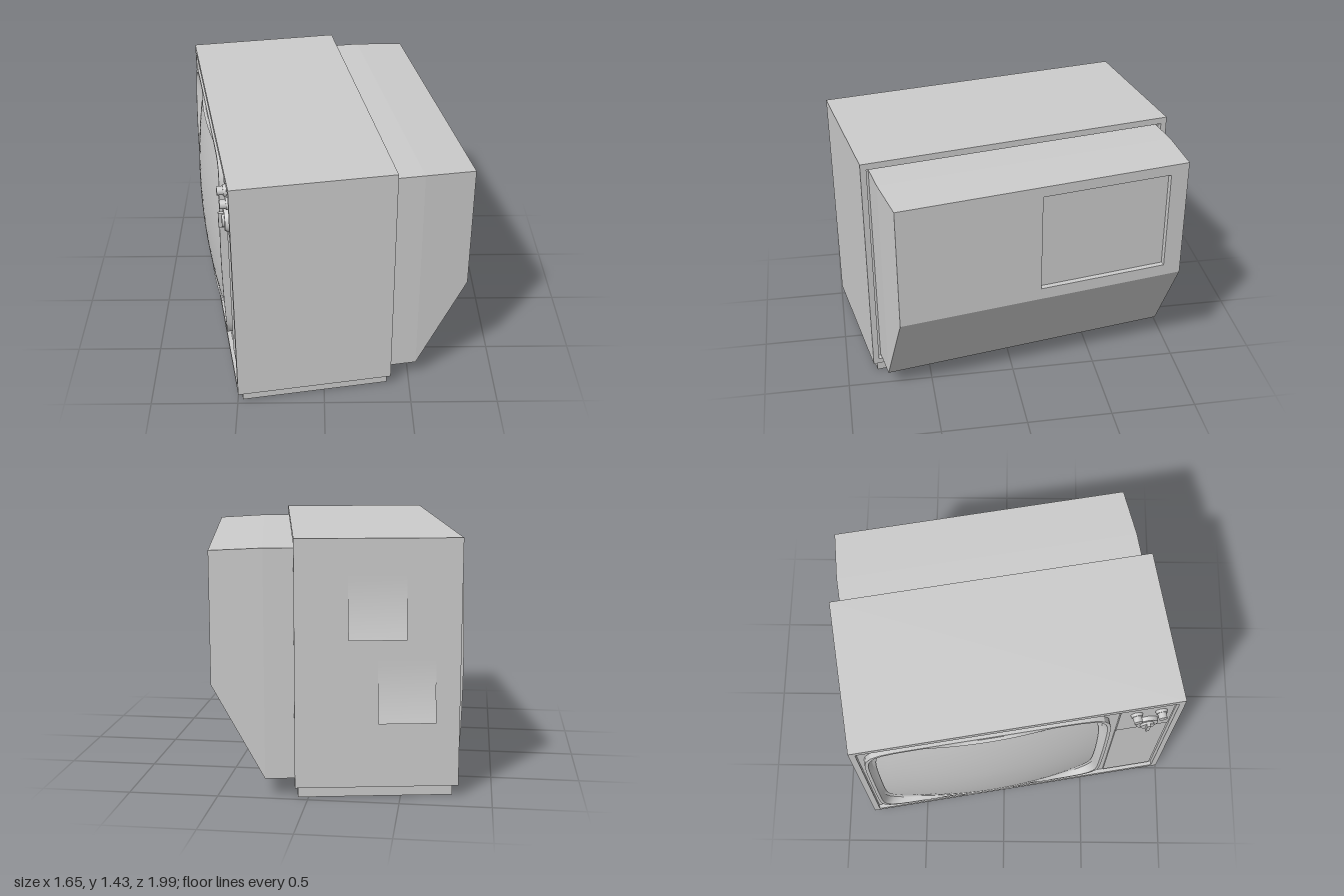
import * as THREE from 'three';
import { toCreasedNormals } from 'three/addons/utils/BufferGeometryUtils.js';

const grey = new THREE.MeshStandardMaterial({ color: 0xcccccc });
const flat = new THREE.MeshStandardMaterial({ color: 0xcccccc, flatShading: true });
const thin = new THREE.MeshStandardMaterial({ color: 0xcccccc, side: THREE.DoubleSide });

// Screen centre in the set's own frame (its front faces +z)
const CX = -0.17, CY = 0.74;

export function createModel() {
  const model = new THREE.Group();
  const set = new THREE.Group();
  set.name = 'television';
  set.rotation.y = -1.398;
  set.position.set(-0.2125, 0, 0.0025);
  model.add(set);

  const add = (name, geometry, material = grey) => {
    const mesh = new THREE.Mesh(geometry, material);
    mesh.name = name;
    set.add(mesh);
    return mesh;
  };
  // Box given by its limits on each axis
  const box = (name, x0, x1, y0, y1, z0, z1) =>
    add(name, new THREE.BoxGeometry(x1 - x0, y1 - y0, z1 - z0))
      .position.set((x0 + x1) / 2, (y0 + y1) / 2, (z0 + z1) / 2);
  const rect = (x0, x1, y0, y1) =>
    [[x0, y0], [x1, y0], [x1, y1], [x0, y1]].map(p => new THREE.Vector2(...p));
  // Plate with a hole, from z0 to z1
  const plate = (name, outer, hole, z0, z1) => {
    const shape = new THREE.Shape(outer);
    shape.holes.push(new THREE.Path(hole));
    const g = new THREE.ExtrudeGeometry(shape, { depth: z1 - z0, bevelEnabled: false });
    return add(name, g.translate(0, 0, z0));
  };
  // Skin between closed rings of points
  const loft = rings => {
    const n = rings[0].length, index = [];
    for (let i = 0; i < rings.length - 1; i++)
      for (let j = 0; j < n; j++) {
        const a = i * n + j, b = i * n + (j + 1) % n;
        index.push(a, b, b + n, a, b + n, a + n);
      }
    const g = new THREE.BufferGeometry().setFromPoints(rings.flat());
    g.setIndex(index);
    g.computeVertexNormals();
    return g;
  };
  // Rounded outline around the screen centre; z is a rule of the position
  const outline = (hx, hy, power, zAt, n = 96) => Array.from({ length: n }, (_, i) => {
    const t = i / n * Math.PI * 2, c = Math.cos(t), s = Math.sin(t);
    const r = (Math.abs(c) ** power + Math.abs(s) ** power) ** (-1 / power);
    const x = hx * r * c, y = hy * r * s;
    return new THREE.Vector3(CX + x, CY + y, zAt(x, y));
  });

  // Cabinet: a sleeve, filled so that front and back sit recessed
  plate('cabinet', rect(-0.93, 0.93, 0.06, 1.43), rect(-0.895, 0.895, 0.092, 1.392), -0.45, 0.45);
  box('cabinetCore', -0.9, 0.9, 0.08, 1.41, -0.415, 0.35);
  plate('frontPanel', rect(-0.9, 0.9, 0.08, 1.41),
    outline(0.69, 0.595, 10, () => 0).map(p => new THREE.Vector2(p.x, p.y)), 0.35, 0.425);

  // Plinth: a frame with a recessed floor
  const plinth = plate('plinth', rect(-0.905, 0.905, -0.42, 0.433),
    rect(-0.885, 0.885, -0.4, 0.413), 0, 0.07);
  plinth.rotation.x = -Math.PI / 2;
  plinth.position.y = 0;
  box('plinthFloor', -0.89, 0.89, 0.02, 0.07, -0.42, 0.405);

  // Screen surround and bulging glass
  const rim = (x, y) => 0.455 + 0.018 * (1 - (y / 0.6) ** 2);
  const glass = (x, y) => 0.515 - 0.07 * (x / 0.65) ** 2 - 0.05 * (y / 0.56) ** 2;
  add('screenSurround', toCreasedNormals(loft([
    outline(0.70, 0.605, 10, () => 0.42),
    outline(0.70, 0.605, 10, rim),
    outline(0.682, 0.59, 10, rim),
    outline(0.66, 0.572, 9, (x, y) => glass(x, y) + 0.008),
    outline(0.635, 0.55, 7, (x, y) => glass(x, y) - 0.012),
  ]), 0.5));
  const steps = [1, 0.9, 0.8, 0.65, 0.5, 0.35, 0.2, 0.1, 0.001];
  add('screen', loft(steps.map(k => outline(0.645 * k, 0.558 * k, 2 + 5 * k, glass))));

  // Control strip with knobs
  box('speakerPanel', 0.575, 0.88, 0.115, 1.01, 0.42, 0.433);
  box('controlPanel', 0.575, 0.88, 1.02, 1.365, 0.42, 0.438);
  const knob = (name, x, y, r, z) => {
    const g = new THREE.CylinderGeometry(r * 0.88, r, z - 0.43, 24).rotateX(Math.PI / 2);
    add(name, g).position.set(x, y, (z + 0.43) / 2);
  };
  for (const x of [0.67, 0.81]) {
    knob('smallKnobBase', x, 1.28, 0.036, 0.455);
    knob('smallKnob', x, 1.28, 0.027, 0.488);
  }
  knob('channelDial', 0.74, 1.14, 0.072, 0.462);
  knob('channelKnob', 0.74, 1.14, 0.045, 0.475);
  box('channelGrip', 0.73, 0.75, 1.095, 1.185, 0.46, 0.492);

  // Rear housing: straight, then tapering to the back face
  const section = (h, y0, y1, z) => rect(-h, h, y0, y1).map(p => new THREE.Vector3(p.x, p.y, z));
  add('rearHousing', loft([
    section(0.857, 0.63, 1.362, -0.9),
    section(0.877, 0.1, 1.375, -0.612),
    section(0.877, 0.1, 1.375, -0.41),
  ]), flat);
  plate('rearFace', rect(-0.857, 0.857, 0.63, 1.362), rect(-0.749, 0.022, 0.7, 1.3), -0.9, -0.865);
  box('rearPocketFloor', -0.77, 0.04, 0.68, 1.32, -0.868, -0.85);

  // Flared scoops on one side wall
  for (const [y, z] of [[1.06, -0.005], [0.6, 0.158]]) {
    const g = new THREE.PlaneGeometry(0.315, 0.34, 1, 12);
    const p = g.attributes.position;
    for (let i = 0; i < p.count; i++)
      p.setZ(i, 0.001 + 0.045 * (0.5 - p.getY(i) / 0.34) ** 2);
    g.computeVertexNormals();
    g.rotateY(-Math.PI / 2);
    add('sideScoop', g, thin).position.set(-0.93, y, z);
  }
  return model;
}
